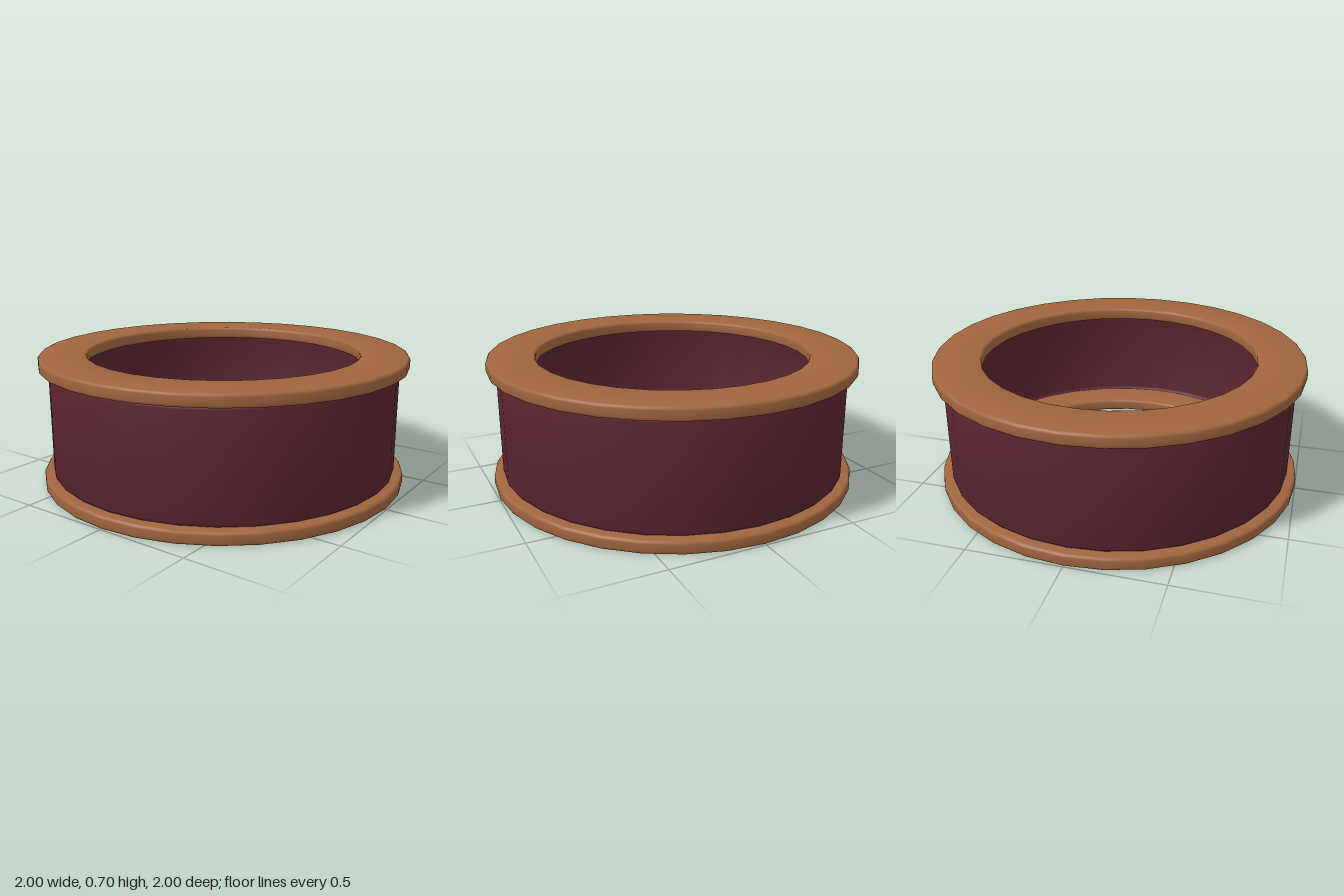
import * as THREE from 'three';
import { toCreasedNormals } from 'three/addons/utils/BufferGeometryUtils.js';

const SEGMENTS = 32;
const HEIGHT = 0.705;
const RING_HEIGHT = 0.068;

const wood = new THREE.MeshStandardMaterial({ color: 0xa0653e });
wood.name = 'warm brown';
const burgundy = new THREE.MeshStandardMaterial({ color: 0x5a2430, side: THREE.DoubleSide });
burgundy.name = 'burgundy';

// Points of a rounded corner (quarter circle) starting at the given angle
function corner(cx, cy, r, start, steps = 3) {
  const points = [];
  for (let i = 0; i <= steps; i++) {
    const a = start + (i / steps) * Math.PI / 2;
    points.push(new THREE.Vector2(cx + r * Math.cos(a), cy + r * Math.sin(a)));
  }
  return points;
}

function lathe(name, profile, material) {
  const geometry = toCreasedNormals(new THREE.LatheGeometry(profile, SEGMENTS), 0.55);
  const mesh = new THREE.Mesh(geometry, material);
  mesh.name = name;
  return mesh;
}

// Flat rim with a round hole and softened edges
function rim(name, y) {
  const inner = 0.743, outer = 1, r = 0.015, top = RING_HEIGHT;
  const profile = [
    ...corner(outer - r, r, r, -Math.PI / 2),
    ...corner(outer - r, top - r, r, 0),
    ...corner(inner + r, top - r, r, Math.PI / 2),
    ...corner(inner + r, r, r, Math.PI),
  ];
  profile.push(profile[0].clone());
  const mesh = lathe(name, profile, wood);
  mesh.position.y = y;
  return mesh;
}

export function createModel() {
  const model = new THREE.Group();
  model.name = 'openDrum';

  model.add(rim('bottomRim', 0), rim('topRim', HEIGHT - RING_HEIGHT));

  // Thin drum wall, turned inward at both ends against the rims
  const r = 0.02, outer = 0.95, lip = 0.752;
  const bottom = RING_HEIGHT - 0.002, top = HEIGHT - bottom;
  model.add(lathe('drumWall', [
    new THREE.Vector2(lip, bottom),
    ...corner(outer - r, bottom + r, r, -Math.PI / 2),
    ...corner(outer - r, top - r, r, 0),
    new THREE.Vector2(lip, top),
  ], burgundy));

  return model;
}
